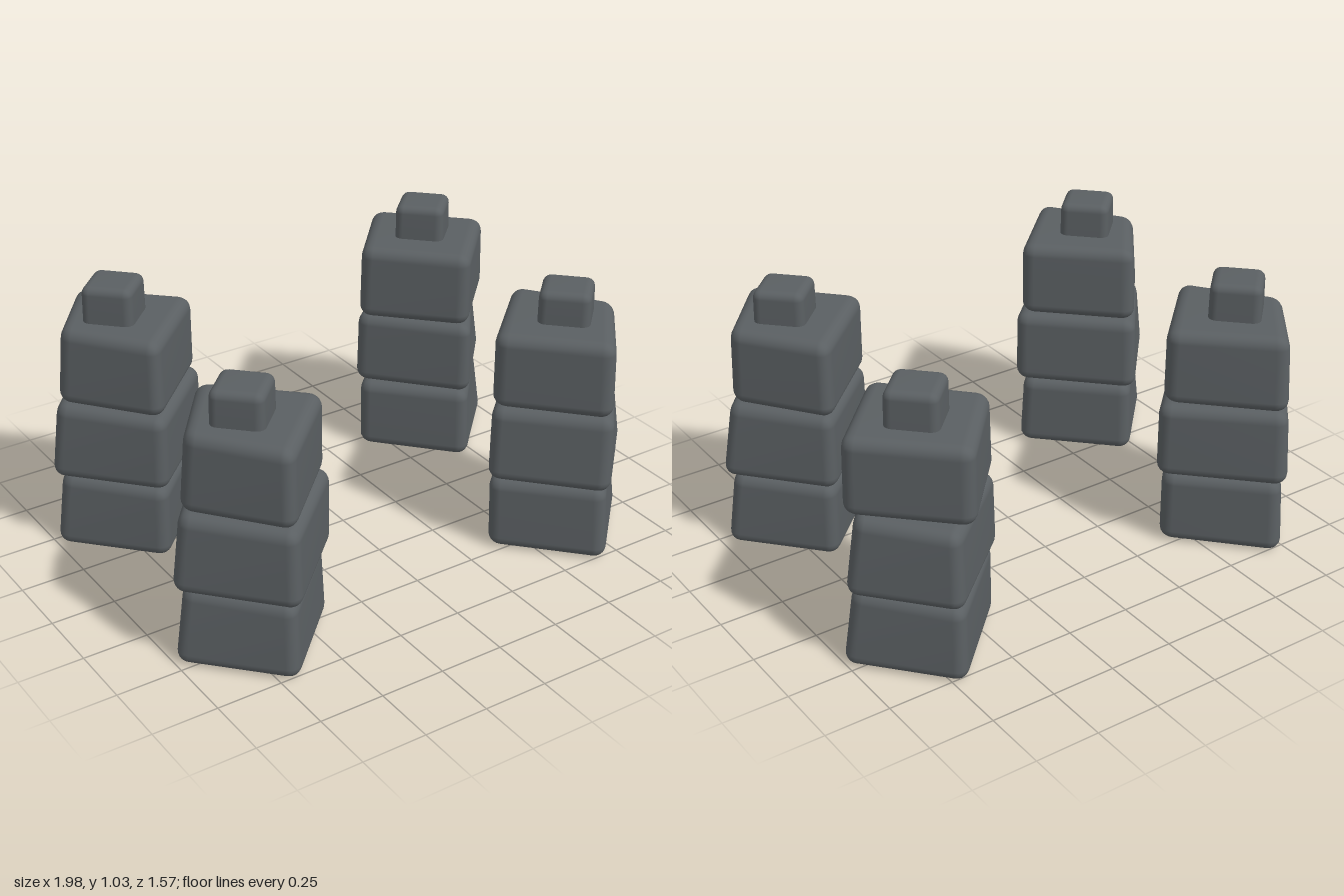
import * as THREE from 'three';
import { RoundedBoxGeometry } from 'three/addons/geometries/RoundedBoxGeometry.js';
import { mergeVertices } from 'three/addons/utils/BufferGeometryUtils.js';

const stone = new THREE.MeshStandardMaterial({ color: 0x5a5f62 });
stone.name = 'dark stone';

// Soft-edged block standing on its diagonal. Each outline lists the corners
// [left x, right x, back z, front z, x of the back corner, x of the front corner, z of the side corners].
function block(bottom, top, y0, y1, radius) {
  const side = (bottom[1] - bottom[0]) / Math.SQRT2;
  const height = y1 - y0;
  let geo = new RoundedBoxGeometry(side, height, side, 3, radius);
  geo.deleteAttribute('normal');
  geo.deleteAttribute('uv');
  geo = mergeVertices(geo, 1e-4);
  const p = geo.attributes.position;
  const clip = radius * 0.41; // rounding pulls the corners in by this much
  const corners = ([l, r, b, f, bx, fx, sz]) =>
    [[bx, b - clip], [r + clip, sz], [l - clip, sz], [fx, f + clip]];
  const low = corners(bottom), high = corners(top);
  for (let i = 0; i < p.count; i++) {
    const u = p.getX(i) / side + 0.5, v = p.getZ(i) / side + 0.5, t = p.getY(i) / height + 0.5;
    const w = [(1 - u) * (1 - v), u * (1 - v), (1 - u) * v, u * v];
    let x = 0, z = 0;
    w.forEach((k, c) => {
      x += k * THREE.MathUtils.lerp(low[c][0], high[c][0], t);
      z += k * THREE.MathUtils.lerp(low[c][1], high[c][1], t);
    });
    p.setXYZ(i, x, y0 + t * height, z);
  }
  geo.computeVertexNormals();
  return new THREE.Mesh(geo, stone);
}

// Three [bottom outline, top outline] pairs per tower, then the cap centre and its top height
const towers = {
  frontRightTower: {
    blocks: [
      [[-0.99, -0.39, 0.15, 0.77, -0.70, -0.70, 0.46], [-0.94, -0.40, 0.16, 0.75, -0.70, -0.70, 0.45]],
      [[-0.99, -0.37, 0.13, 0.785, -0.70, -0.70, 0.46], [-0.95, -0.37, 0.14, 0.77, -0.70, -0.70, 0.46]],
      [[-0.94, -0.39, 0.15, 0.76, -0.70, -0.70, 0.45], [-0.91, -0.39, 0.16, 0.75, -0.70, -0.70, 0.45]],
    ],
    cap: [-0.70, 0.455, 1.03],
  },
  frontLeftTower: {
    blocks: [
      [[0.37, 0.97, 0.15, 0.77, 0.69, 0.66, 0.46], [0.37, 0.93, 0.16, 0.75, 0.69, 0.66, 0.45]],
      [[0.355, 0.97, 0.14, 0.78, 0.69, 0.65, 0.46], [0.37, 0.92, 0.15, 0.76, 0.69, 0.67, 0.45]],
      [[0.37, 0.91, 0.14, 0.76, 0.69, 0.66, 0.45], [0.37, 0.90, 0.15, 0.75, 0.69, 0.66, 0.45]],
    ],
    cap: [0.68, 0.455, 1.025],
  },
  backRightTower: {
    blocks: [
      [[-0.99, -0.40, -0.78, -0.15, -0.70, -0.70, -0.46], [-0.95, -0.40, -0.76, -0.15, -0.70, -0.70, -0.46]],
      [[-0.99, -0.37, -0.79, -0.14, -0.70, -0.70, -0.46], [-0.95, -0.37, -0.77, -0.14, -0.70, -0.70, -0.46]],
      [[-0.94, -0.39, -0.77, -0.15, -0.70, -0.70, -0.46], [-0.91, -0.39, -0.75, -0.16, -0.70, -0.70, -0.46]],
    ],
    cap: [-0.70, -0.465, 1.04],
  },
  backLeftTower: {
    blocks: [
      [[0.40, 1.0, -0.78, -0.14, 0.72, 0.69, -0.46], [0.40, 0.95, -0.765, -0.15, 0.72, 0.69, -0.46]],
      [[0.39, 0.99, -0.78, -0.14, 0.73, 0.69, -0.48], [0.40, 0.94, -0.76, -0.14, 0.73, 0.69, -0.48]],
      [[0.39, 0.97, -0.755, -0.15, 0.66, 0.68, -0.45], [0.40, 0.965, -0.75, -0.15, 0.66, 0.68, -0.45]],
    ],
    cap: [0.69, -0.465, 1.035],
  },
};

export function createModel() {
  const model = new THREE.Group();
  model.name = 'stoneTowers';
  for (const [name, { blocks, cap }] of Object.entries(towers)) {
    const tower = new THREE.Group();
    tower.name = name;
    ['lowerBlock', 'middleBlock', 'upperBlock'].forEach((part, i) => {
      const mesh = block(...blocks[i], i * 0.3 + (i ? 0 : 0.005), i * 0.3 + 0.3, 0.045);
      mesh.name = part;
      tower.add(mesh);
    });
    // Small cap stone sunk a little into the upper block
    const [x, z, y] = cap;
    const outline = (h) => [x - h, x + h, z - h, z + h, x, x, z];
    const top = block(outline(0.126), outline(0.123), 0.86, y, 0.03);
    top.name = 'capStone';
    tower.add(top);
    model.add(tower);
  }
  return model;
}
